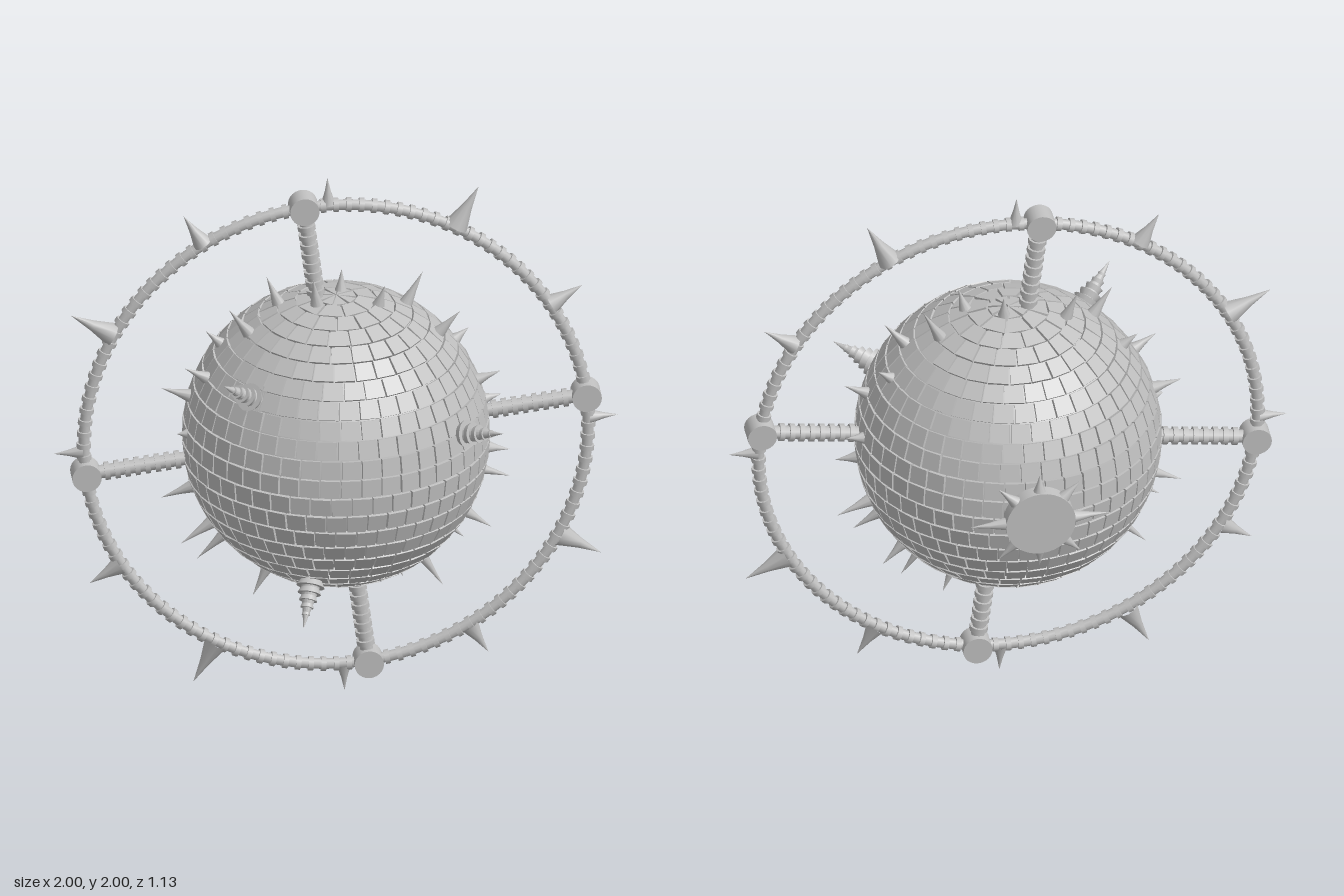
import * as THREE from 'three';
import { mergeGeometries } from 'three/addons/utils/BufferGeometryUtils.js';

const UP = new THREE.Vector3(0, 1, 0);
const R = 0.54; // ball radius
const RING = 0.893; // outer ring radius
const V = (x, y, z) => new THREE.Vector3(x, y, z);
const polar = (deg, r = 1, z = 0) => {
  const a = THREE.MathUtils.degToRad(deg);
  return V(Math.cos(a) * r, Math.sin(a) * r, z);
};

// Turns a y-axis geometry to point along dir, then moves it to pos
function aim(geo, pos, dir) {
  const q = new THREE.Quaternion().setFromUnitVectors(UP, dir.clone().normalize());
  return geo.applyQuaternion(q).translate(pos.x, pos.y, pos.z);
}

// Thorn with a slightly hollow flank, base at 'from' and point at 'to'
function spike(from, to, radius) {
  const len = from.distanceTo(to);
  const profile = [[radius, 0], [radius * 0.44, len * 0.48], [0, len]];
  const thorn = new THREE.LatheGeometry(profile.map(([x, y]) => new THREE.Vector2(x, y)), 10);
  return aim(thorn, from, to.clone().sub(from));
}

function seeded(seed) {
  return () => {
    seed = (seed * 16807) % 2147483647;
    return seed / 2147483647 - 0.5;
  };
}

// Small flat tiles in latitude rows, tapered towards the poles and tipped a little
function tileGeometry() {
  const rnd = seeded(77);
  const rows = 24;
  const step = Math.PI / rows;
  const tiles = [];
  for (let i = 0; i < rows; i++) {
    const theta = (i + 0.5) * step;
    const girth = 2 * Math.PI * R * Math.sin(theta);
    const n = Math.max(8, Math.round(girth / 0.073));
    const shift = rnd() * 6;
    for (let j = 0; j < n; j++) {
      const tile = new THREE.BoxGeometry(girth / n - 0.006, R * step - 0.006, 0.02);
      const p = tile.attributes.position;
      for (let k = 0; k < p.count; k++) {
        const edge = theta - Math.sign(p.getY(k)) * step / 2;
        p.setX(k, p.getX(k) * Math.sin(edge) / Math.sin(theta));
      }
      tile.rotateX(rnd() * 0.06 + 0.03).rotateY(rnd() * 0.06).rotateZ(rnd() * 0.04);
      tile.translate(0, 0, R - 0.009);
      tile.rotateX(theta - Math.PI / 2).rotateY(shift + (j / n) * 2 * Math.PI);
      tiles.push(tile);
    }
  }
  return mergeGeometries(tiles);
}

// Horn made of stacked collars that shrink towards a sharp tip
function hornGeometry(tip) {
  const dir = tip.clone().normalize();
  const start = R - 0.03;
  const len = tip.length() - start;
  const steps = 6;
  const parts = [new THREE.ConeGeometry(0.045, len, 14).translate(0, len / 2, 0)];
  for (let i = 0; i < steps; i++) {
    const r = 0.06 * (1 - i / (steps + 0.6));
    const h = len * 0.125;
    parts.push(new THREE.CylinderGeometry(r, r * 0.72, h, 14).translate(0, h * (i + 0.5), 0));
  }
  return aim(mergeGeometries(parts), dir.clone().multiplyScalar(start), dir);
}

export function createModel() {
  const metal = new THREE.MeshStandardMaterial({ color: 0xc0c0c0 });
  metal.name = 'light grey metal';
  const model = new THREE.Group();
  model.name = 'spikedBall';
  const add = (parent, name, geos) => {
    const mesh = new THREE.Mesh(Array.isArray(geos) ? mergeGeometries(geos) : geos, metal);
    mesh.name = name;
    parent.add(mesh);
  };

  // Ball
  const ball = new THREE.Group();
  ball.name = 'ball';
  ball.position.set(0, 1.002, 0.017);
  model.add(ball);
  add(ball, 'ballCore', new THREE.SphereGeometry(R - 0.01, 48, 32));
  add(ball, 'ballTiles', tileGeometry());

  // Small spikes in a staggered belt around the ball: angle, reach
  const belt = [
    [87.5, 0.616], [74.4, 0.618], [61.8, 0.668], [48, 0.648], [37, 0.6], [22.6, 0.626],
    [9, 0.6], [-6.4, 0.614], [-20, 0.667], [-34, 0.659], [-44.7, 0.65], [-57.5, 0.697],
    [-67.7, 0.648], [98, 0.641], [111.8, 0.646], [126, 0.66], [138.7, 0.606], [150, 0.629],
    [163, 0.642], [174, 0.575], [201.3, 0.66], [213.4, 0.67], [224.9, 0.687], [242.6, 0.66],
  ];
  add(ball, 'beltSpikes', belt.map(([a, reach], i) => {
    const z = i % 2 ? 0.06 : -0.055;
    return spike(polar(a, R - 0.015, z * 0.8), polar(a, reach, z), 0.027);
  }));

  // Large stepped horns on the front half
  const horns = [V(-0.45, 0.405, 0.41), V(0.54, 0.175, 0.44), V(-0.17, -0.55, 0.43)];
  add(ball, 'horns', horns.map(hornGeometry));

  // Back disc with spikes around its rim
  const disc = new THREE.Group();
  disc.name = 'backDisc';
  disc.position.set(0, 0, -0.557);
  ball.add(disc);
  add(disc, 'discPlate', new THREE.CylinderGeometry(0.125, 0.125, 0.05, 32).rotateX(Math.PI / 2));
  const rim = [];
  for (let i = 0; i < 8; i++) {
    const reach = i % 2 ? 0.21 : i % 4 ? 0.19 : 0.25;
    rim.push(spike(polar(i * 45, 0.115), polar(i * 45, reach), 0.025));
  }
  add(disc, 'discSpikes', rim);

  // Outer ring, turned very slightly
  const ring = new THREE.Group();
  ring.name = 'outerRing';
  ring.position.set(0, 1, 0.017);
  ring.rotation.set(-0.006, -0.025, 0);
  model.add(ring);
  add(ring, 'ringTube', new THREE.TorusGeometry(RING, 0.019, 10, 120));
  const ribs = [];
  for (let i = 0; i < 124; i++) {
    const a = (i / 124) * 360;
    ribs.push(aim(new THREE.CylinderGeometry(0.026, 0.026, 0.018, 10), polar(a, RING), polar(a + 90)));
  }
  add(ring, 'ringRibs', ribs);

  // Ring spikes: three sizes repeated in each quarter
  const sizes = [[1.0, 0.026], [1.027, 0.036], [1.067, 0.043]];
  const points = [];
  for (let i = 0; i < 12; i++) {
    const [reach, radius] = sizes[i % 3];
    points.push(spike(polar(i * 30 + 1.7, RING + 0.005), polar(i * 30 + 1.7, reach), radius));
  }
  add(ring, 'ringSpikes', points);

  // Four ribbed struts, each ending in a round hub on the ring
  const rods = [];
  const hubs = [];
  for (let k = 0; k < 4; k++) {
    const a = 7.3 + k * 90;
    const dir = polar(a);
    rods.push(aim(new THREE.CylinderGeometry(0.024, 0.024, 0.38, 10), polar(a, 0.69), dir));
    for (let r = 0.53; r < 0.85; r += 0.036) {
      rods.push(aim(new THREE.CylinderGeometry(0.033, 0.033, 0.018, 10), polar(a, r), dir));
    }
    const p = polar(a, RING);
    hubs.push(new THREE.CylinderGeometry(0.052, 0.052, 0.08, 24).rotateX(Math.PI / 2).translate(p.x, p.y, 0));
  }
  add(ring, 'struts', rods);
  add(ring, 'hubs', hubs);
  return model;
}
